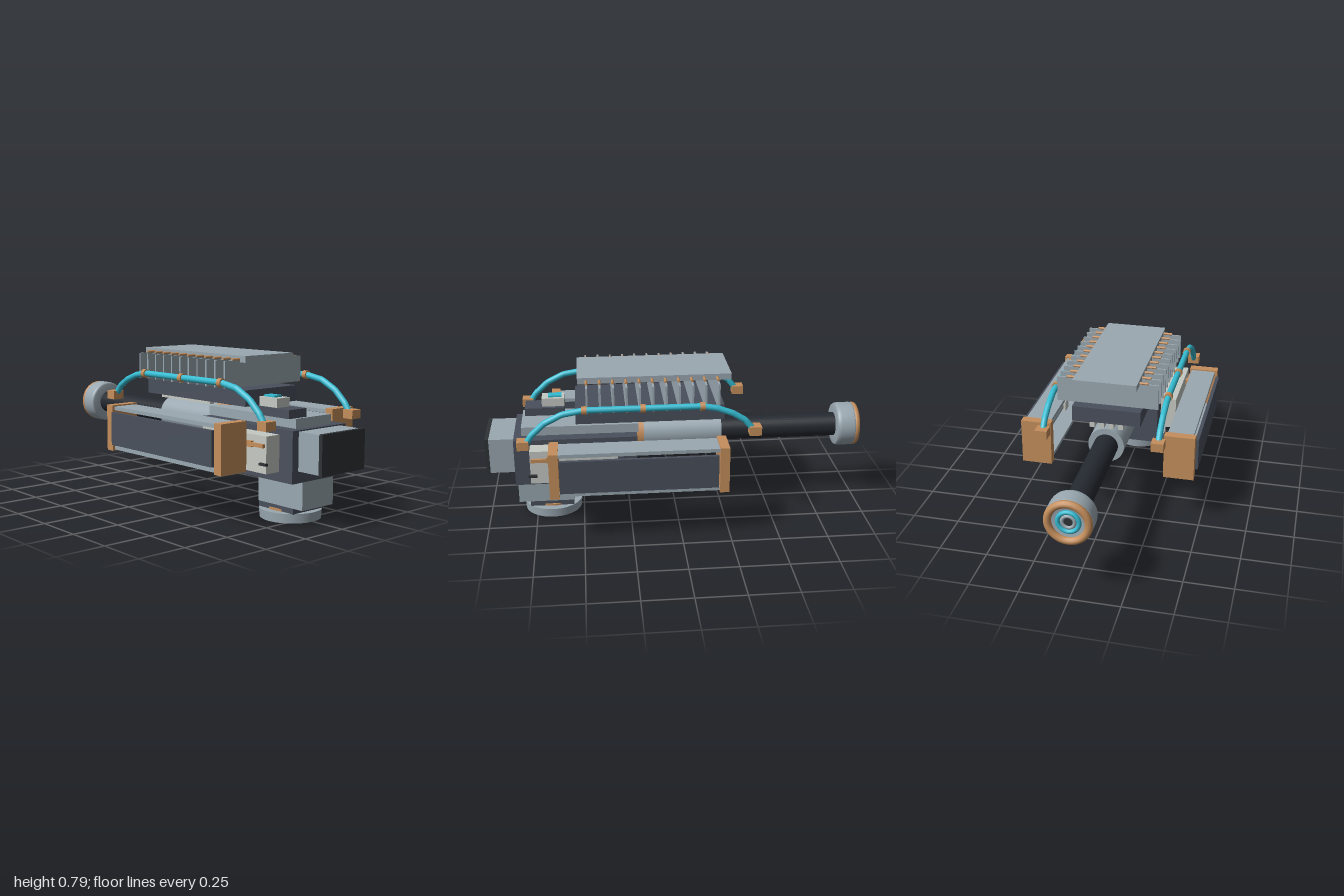
import * as THREE from 'three';

const mats = {};
for (const [k, c] of Object.entries({
  steel: 0x9aa8b1, dark: 0x4a505c, black: 0x2f3336, barrel: 0x242930,
  copper: 0xc48e5c, cyan: 0x35bcd2, cream: 0xc6cac4,
})) mats[k] = new THREE.MeshStandardMaterial({ color: c });

export function createModel() {
  const root = new THREE.Group();
  root.name = 'heavyCannon';

  const add = (name, geo, mat, parent = root) => {
    const m = new THREE.Mesh(geo, mats[mat]);
    m.name = name;
    parent.add(m);
    return m;
  };
  // Box given by its limits on each axis
  const box = (name, mat, x0, x1, y0, y1, z0, z1, parent) => {
    const m = add(name, new THREE.BoxGeometry(Math.abs(x1 - x0), y1 - y0, z1 - z0), mat, parent);
    m.position.set((x0 + x1) / 2, (y0 + y1) / 2, (z0 + z1) / 2);
    return m;
  };
  // Cylinder lying along z
  const rod = (name, mat, r, x, y, z0, z1, parent) => {
    const g = new THREE.CylinderGeometry(r, r, z1 - z0, 32).rotateX(Math.PI / 2);
    const m = add(name, g, mat, parent);
    m.position.set(x, y, (z0 + z1) / 2);
    return m;
  };
  const ring = (name, mat, R, r, y, z) => {
    const m = add(name, new THREE.TorusGeometry(R, r, 12, 40), mat);
    m.position.set(0, y, z);
    return m;
  };

  // Receiver and front block
  box('receiver', 'dark', -0.185, 0.185, 0.215, 0.466, 0.21, 0.85);
  box('frontBlock', 'steel', -0.145, 0.145, 0.272, 0.46, 0.85, 0.985);
  box('frontScreen', 'black', -0.149, 0.149, 0.268, 0.464, 0.98, 1.0);
  box('topPlate', 'steel', -0.123, 0.123, 0.466, 0.513, 0.2, 0.81);

  // Sight on the top plate
  box('sightBase', 'dark', -0.155, -0.035, 0.513, 0.555, 0.585, 0.795);
  box('sightBody', 'cream', -0.143, -0.057, 0.555, 0.6, 0.585, 0.705);
  box('sightLens', 'cyan', -0.125, -0.075, 0.6, 0.609, 0.6, 0.67);

  // Pedestal
  box('pedestalNeck', 'steel', -0.108, 0.108, 0.075, 0.22, 0.55, 0.845);
  box('pedestalCollar', 'dark', -0.106, 0.106, 0.045, 0.075, 0.552, 0.785);
  const pedestalRing = add('pedestalRing', new THREE.CylinderGeometry(0.115, 0.115, 0.012, 40), 'copper');
  pedestalRing.position.set(0, 0.051, 0.665);
  const foot = add('foot', new THREE.CylinderGeometry(0.155, 0.152, 0.047, 48), 'steel');
  foot.position.set(0, 0.0235, 0.665);

  // Barrel
  const axisY = 0.418;
  rod('barrelCollar', 'copper', 0.103, 0, axisY, 0.17, 0.25);
  rod('barrelHousing', 'steel', 0.095, 0, axisY, -0.245, 0.2);
  rod('barrel', 'barrel', 0.063, 0, axisY, -0.9, -0.2);

  // Muzzle: lathe profile of radius and distance along the barrel
  const profile = [[0.06, 0.875], [0.108, 0.875], [0.115, 0.885], [0.117, 0.9],
    [0.117, 0.965], [0.112, 0.982], [0.085, 0.985], [0.075, 0.97], [0, 0.97]];
  const muzzle = add('muzzle', new THREE.LatheGeometry(
    profile.map(([r, d]) => new THREE.Vector2(r, d)), 48).rotateX(-Math.PI / 2), 'steel');
  muzzle.position.y = axisY;
  muzzle.material = mats.steel.clone();
  muzzle.material.side = THREE.DoubleSide;
  ring('muzzleRim', 'copper', 0.098, 0.019, axisY, -0.981);
  ring('muzzleGlowRing', 'cyan', 0.051, 0.011, axisY, -0.976);
  ring('muzzleInnerRing', 'steel', 0.03, 0.009, axisY, -0.974);
  rod('bore', 'black', 0.025, 0, axisY, -0.975, -0.965);

  // Radiator: slab, fins, pins and cover
  box('radiatorSlab', 'dark', -0.179, 0.179, 0.545, 0.625, -0.245, 0.525);
  for (let i = 0; i < 4; i++) {
    const x = -0.075 + i * 0.05;
    box('slabRail', 'cream', x - 0.014, x + 0.014, 0.514, 0.546, -0.24, 0.165);
  }
  for (let i = 0; i < 11; i++) {
    const z = 0.465 - i * 0.067;
    box('radiatorFin', 'steel', -0.264, 0.264, 0.635, 0.768, z - 0.005, z + 0.005);
    const pin = add('finPin', new THREE.CylinderGeometry(0.007, 0.007, 0.424, 12).rotateZ(Math.PI / 2), 'copper');
    pin.position.set(0, 0.772, z);
  }
  box('radiatorCover', 'steel', -0.165, 0.165, 0.757, 0.79, -0.28, 0.51);

  // Parts repeated on both sides
  for (const s of [1, -1]) {
    const side = new THREE.Group();
    side.name = s > 0 ? 'leftSide' : 'rightSide';
    root.add(side);
    const sbox = (name, mat, x0, x1, ...r) => box(name, mat, s * x0, s * x1, ...r, side);

    // Side pod: end plates, outer panel and strips
    sbox('podFrontPlate', 'copper', 0.301, 0.461, 0.262, 0.504, 0.615, 0.663);
    sbox('podBackPlate', 'copper', 0.301, 0.461, 0.262, 0.504, -0.236, -0.188);
    sbox('podPanel', 'dark', 0.455, 0.474, 0.297, 0.47, -0.18, 0.612);
    sbox('podTopStrip', 'steel', 0.312, 0.447, 0.478, 0.497, -0.19, 0.617);
    sbox('podBottomStrip', 'steel', 0.312, 0.447, 0.268, 0.287, -0.19, 0.617);
    rod('podPiston', 'steel', 0.02, s * 0.375, 0.383, -0.19, 0.22, side);
    sbox('podPistonHead', 'cream', 0.345, 0.405, 0.355, 0.411, 0.2, 0.26);

    // Cheek box with lever and slot
    sbox('cheekBox', 'cream', 0.183, 0.271, 0.262, 0.44, 0.315, 0.765);
    sbox('cheekSlot', 'black', 0.268, 0.287, 0.302, 0.313, 0.73, 0.775);
    sbox('leverPivot', 'copper', 0.268, 0.287, 0.38, 0.41, 0.65, 0.68);
    sbox('lever', 'copper', 0.276, 0.29, 0.386, 0.404, 0.66, 0.76);

    // Hose with end blocks and clamps
    const X = s * 0.298;
    const path = new THREE.CurvePath();
    const pts = [[0.5, 0.775], [0.545, 0.745], [0.605, 0.68], [0.65, 0.59], [0.668, 0.48], [0.668, -0.11],
      [0.655, -0.19], [0.625, -0.27], [0.585, -0.335], [0.535, -0.375]]
      .map(([y, z]) => new THREE.Vector3(X, y, z));
    for (let i = 1; i < pts.length; i++) path.add(new THREE.LineCurve3(pts[i - 1], pts[i]));
    add('hose', new THREE.TubeGeometry(path, 90, 0.016, 16), 'cyan', side);
    sbox('hoseFrontBlock', 'copper', 0.266, 0.33, 0.474, 0.518, 0.762, 0.822);
    sbox('hoseBackBlock', 'copper', 0.266, 0.33, 0.508, 0.554, -0.417, -0.355);
    for (const z of [0.48, 0.185, -0.115]) rod('hoseClamp', 'copper', 0.022, X, 0.667, z - 0.013, z + 0.013, side);
  }
  return root;
}
